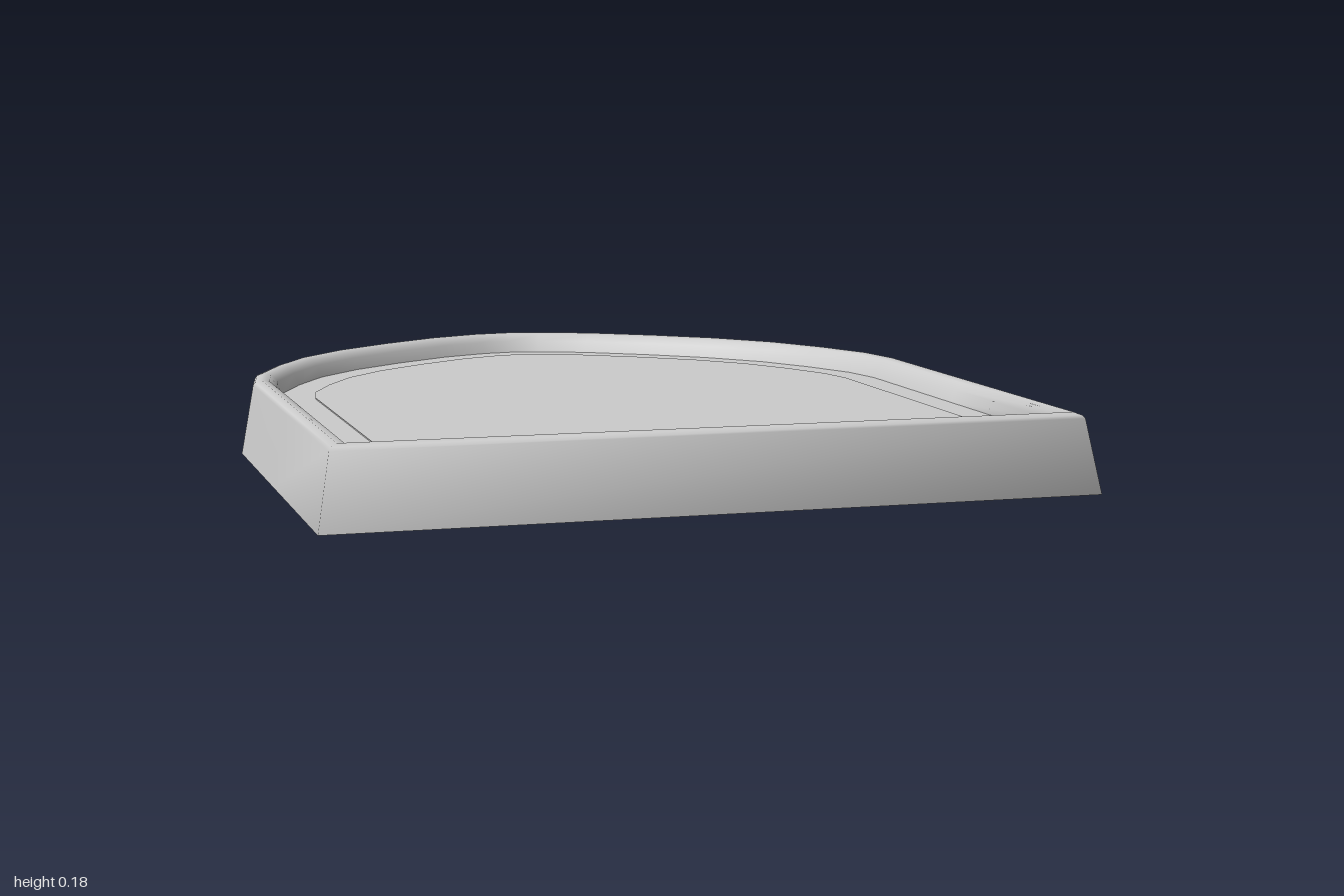
import * as THREE from 'three';

// Half of the pointed-arch outline as [x, z], from front corner to apex
const HALF = [
  [0.875, 1], [0.875, 0.4], [0.875, -0.1], [0.85, -0.24], [0.78, -0.4], [0.69, -0.555],
  [0.56, -0.7], [0.41, -0.82], [0.25, -0.925], [0.105, -0.985],
];
const OUTLINE = [...HALF, [0, -1], ...HALF.map(([x, z]) => [-x, z]).reverse()];

// Rim cross-section as [inset, height]
const RIM = [[0, 0], [0.03, 0.167], [0.035, 0.174], [0.05, 0.18], [0.07, 0.176], [0.087, 0.16], [0.1, 0.13]];
const FLOOR_Y = 0.13;

// Mitred inward offset of the outline
function inset(d) {
  const n = OUTLINE.length;
  const normal = (a, b) => new THREE.Vector2(b[1] - a[1], a[0] - b[0]).normalize();
  return OUTLINE.map((p, i) => {
    const n1 = normal(OUTLINE[(i + n - 1) % n], p);
    const n2 = normal(p, OUTLINE[(i + 1) % n]);
    const k = d / (1 + n1.dot(n2));
    return [p[0] + (n1.x + n2.x) * k, p[1] + (n1.y + n2.y) * k];
  });
}

function shapeOf(points, flip) {
  return new THREE.Shape(points.map(([x, z]) => new THREE.Vector2(x, z * flip)));
}

// Smooth rim: the cross-section swept round the closed outline
function rimGeometry() {
  const n = OUTLINE.length;
  const positions = [];
  const index = [];
  RIM.forEach(([d, y], j) => {
    inset(d).forEach(([x, z], i) => {
      positions.push(x, y, z);
      if (j === RIM.length - 1) return;
      const a = j * n + i;
      const b = j * n + (i + 1) % n;
      index.push(a, b, b + n, a, b + n, a + n);
    });
  });
  const g = new THREE.BufferGeometry();
  g.setAttribute('position', new THREE.Float32BufferAttribute(positions, 3));
  g.setIndex(index);
  g.computeVertexNormals();
  return g;
}

export function createModel() {
  const group = new THREE.Group();
  group.name = 'archedTray';
  const grey = new THREE.MeshStandardMaterial({ color: 0xcccccc });
  grey.name = 'light grey';

  const add = (name, geometry, y = 0) => {
    const mesh = new THREE.Mesh(geometry, grey);
    mesh.name = name;
    mesh.position.y = y;
    group.add(mesh);
  };

  add('rim', rimGeometry());
  add('base', new THREE.ShapeGeometry(shapeOf(OUTLINE, 1)).rotateX(Math.PI / 2));
  add('floor', new THREE.ShapeGeometry(shapeOf(inset(0.1), -1)).rotateX(-Math.PI / 2), FLOOR_Y);

  // Barely raised panel in the middle of the floor
  const panel = new THREE.ExtrudeGeometry(shapeOf(inset(0.18), -1), { depth: 0.003, bevelEnabled: false });
  add('floorPanel', panel.rotateX(-Math.PI / 2), FLOOR_Y);

  return group;
}
